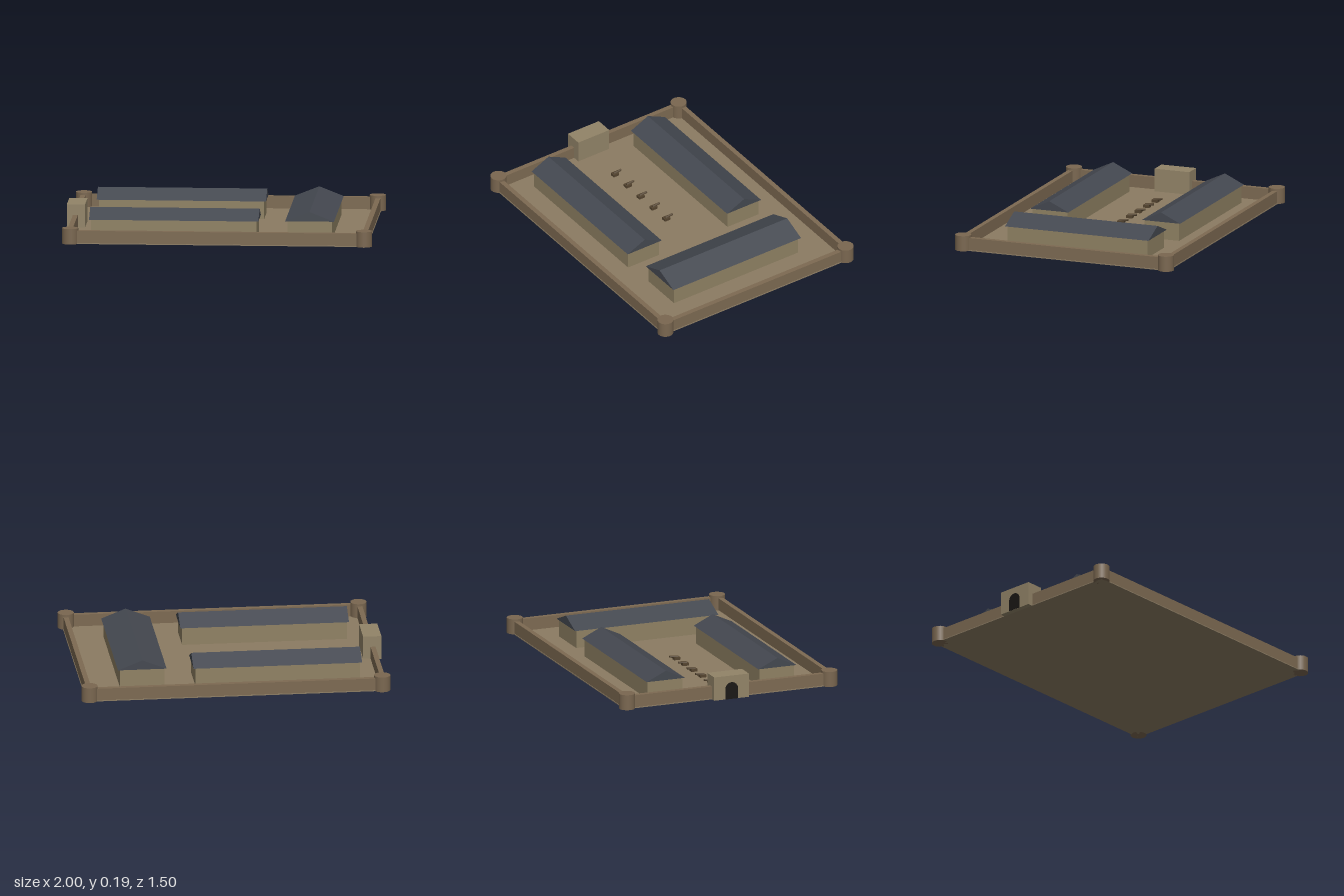
import * as THREE from 'three';

const mat = (color) => new THREE.MeshStandardMaterial({ color });
const M = {
  ground: mat(0x8b7b62), wall: mat(0x7d6a52), tower: mat(0x7a6750), house: mat(0x8f8163),
  roof: mat(0x444850), gate: mat(0x928468), door: mat(0x1a1714), gun: mat(0x54442f),
};

// Places a named mesh in a parent
function add(parent, name, geometry, material, x = 0, y = 0, z = 0) {
  const mesh = new THREE.Mesh(geometry, material);
  mesh.name = name;
  mesh.position.set(x, y, z);
  parent.add(mesh);
  return mesh;
}

// Box standing on height y
function box(parent, name, material, w, h, d, x, y, z) {
  return add(parent, name, new THREE.BoxGeometry(w, h, d), material, x, y + h / 2, z);
}

// Long house with a gable roof, ridge along local x
function barrack(name, length, depth, overEnd, overSide) {
  const g = new THREE.Group();
  g.name = name;
  box(g, 'barrackWalls', M.house, length, 0.123, depth, 0, 0.001, 0);
  const half = depth / 2 + overSide;
  const gable = new THREE.Shape([
    new THREE.Vector2(-half, 0), new THREE.Vector2(half, 0), new THREE.Vector2(0, 0.062),
  ]);
  const len = length + overEnd * 2;
  const geo = new THREE.ExtrudeGeometry(gable, { depth: len, bevelEnabled: false });
  geo.translate(0, 0, -len / 2).rotateY(Math.PI / 2);
  add(g, 'gableRoof', geo, M.roof, 0, 0.123, 0);
  return g;
}

// Small field gun aiming towards -z
function fieldGun() {
  const g = new THREE.Group();
  g.name = 'fieldGun';
  box(g, 'gunCarriage', M.gun, 0.033, 0.018, 0.042, 0, 0.005, 0.011);
  const barrel = new THREE.CylinderGeometry(0.007, 0.01, 0.058, 12).rotateX(-Math.PI / 2 + 0.15);
  add(g, 'gunBarrel', barrel, M.gun, 0, 0.026, -0.008);
  return g;
}

export function createModel() {
  const root = new THREE.Group();
  root.name = 'fort';
  const cx = 0.005;

  // Courtyard slab
  box(root, 'courtyard', M.ground, 1.93, 0.006, 1.45, cx, 0, 0);

  // Perimeter walls
  for (const s of [-1, 1]) {
    box(root, 'longWall', M.wall, 1.924, 0.083, 0.032, cx, 0.002, s * 0.706);
    box(root, 'shortWall', M.wall, 0.032, 0.083, 1.38, cx + s * 0.946, 0.002, 0);
    // Round corner towers
    for (const t of [-1, 1]) {
      add(root, 'cornerTower', new THREE.CylinderGeometry(0.052, 0.052, 0.1, 24), M.tower,
        cx + s * 0.942, 0.05, t * 0.7);
    }
  }

  // Gatehouse with an arched door on its outer face
  box(root, 'gatehouse', M.gate, 0.117, 0.155, 0.24, -0.9365, 0, 0);
  const arch = new THREE.Shape();
  arch.moveTo(-0.043, 0);
  arch.lineTo(0.043, 0);
  arch.lineTo(0.043, 0.067);
  arch.absarc(0, 0.067, 0.043, 0, Math.PI, false);
  arch.closePath();
  const door = new THREE.ExtrudeGeometry(arch, { depth: 0.015, bevelEnabled: false, curveSegments: 12 });
  door.rotateY(-Math.PI / 2);
  add(root, 'archedDoor', door, M.door, -0.985, 0.001, 0);

  // Barracks around three sides of the yard
  for (const s of [-1, 1]) {
    const b = barrack('sideBarrack', 1.06, 0.24, 0.013, 0.012);
    b.position.set(-0.285, 0, s * 0.386);
    root.add(b);
  }
  const main = barrack('mainBarrack', 0.965, 0.287, 0.013, 0.013);
  main.rotation.y = Math.PI / 2;
  main.position.x = 0.585;
  root.add(main);

  // Row of guns in the yard
  for (let i = 0; i < 5; i++) {
    const gun = fieldGun();
    gun.position.x = -0.623 + i * 0.145;
    root.add(gun);
  }
  return root;
}
